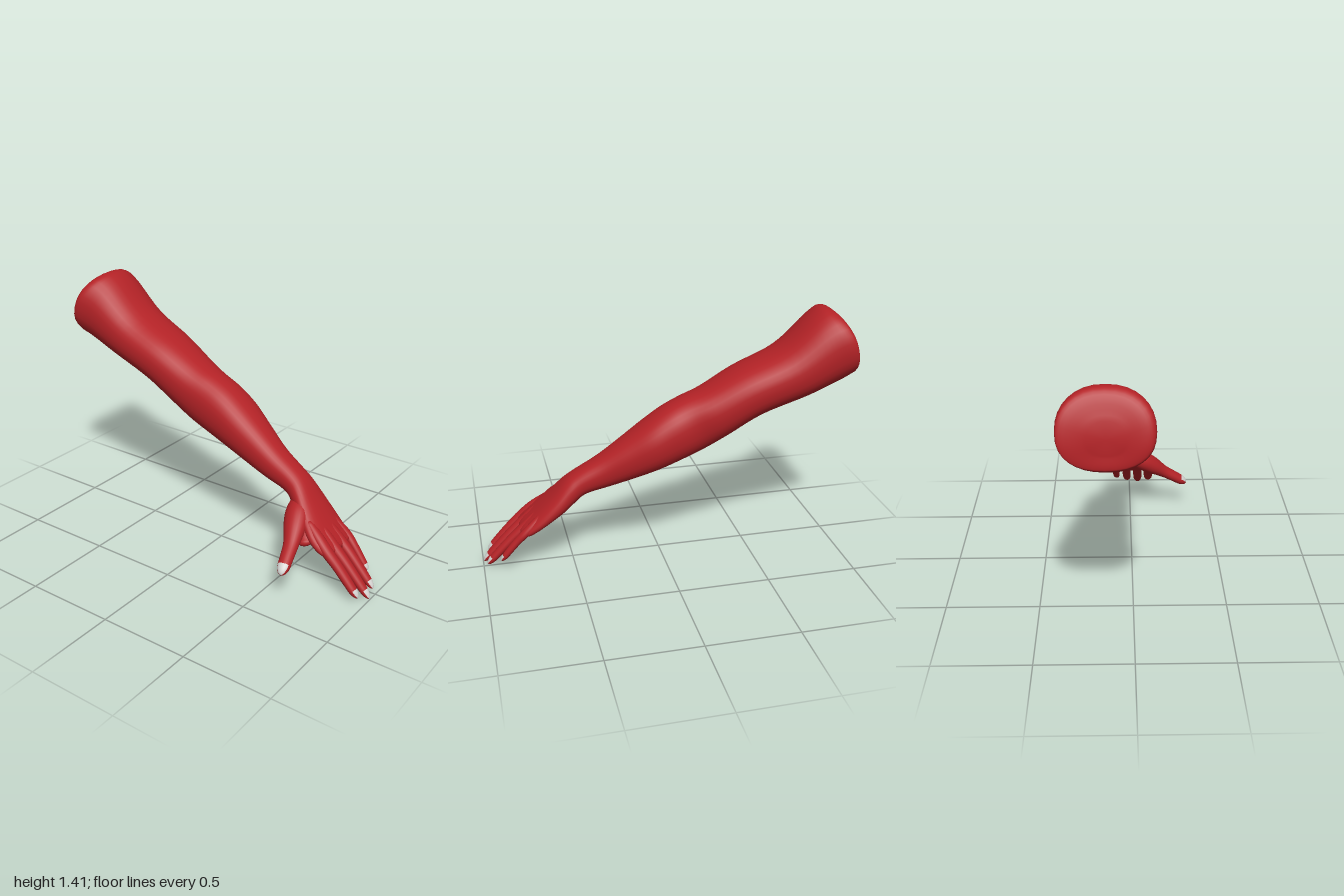
import * as THREE from 'three';

const V = (x, y, z) => new THREE.Vector3(x, y, z);
const SEG = 32;

// Skins closed rings of points, with a fan at both ends; isNail(ring, side) picks the second material
function loft(rings, startPoint, endPoint, isNail = () => false) {
  const n = rings[0].length, pos = [], skin = [], nail = [];
  rings.forEach(r => r.forEach(p => pos.push(p.x, p.y, p.z)));
  pos.push(...startPoint.toArray(), ...endPoint.toArray());
  const start = rings.length * n, end = start + 1, last = (rings.length - 1) * n;
  for (let j = 0; j < n; j++) {
    const k = (j + 1) % n;
    skin.push(start, k, j, last + j, last + k, end);
    for (let i = 0; i < rings.length - 1; i++) {
      const a = i * n + j, b = i * n + k;
      (isNail(i, j) ? nail : skin).push(a, b, a + n, b, b + n, a + n);
    }
  }
  const geo = new THREE.BufferGeometry();
  geo.setAttribute('position', new THREE.Float32BufferAttribute(pos, 3));
  geo.setIndex([...skin, ...nail]);
  geo.addGroup(0, skin.length, 0);
  if (nail.length) geo.addGroup(skin.length, nail.length, 1);
  geo.computeVertexNormals();
  return geo;
}

// Arm sections: top x, y, bottom x, y, back z, front z, sideways bow along x
const SECTIONS = [
  [-0.975, 1.28, -0.995, 1.12, -0.22, -0.04, -0.01],
  [-0.925, 1.385, -1.0, 1.06, -0.335, 0.06, -0.035],
  [-0.87, 1.41, -0.985, 1.04, -0.357, 0.095, -0.04],
  [-0.8, 1.37, -0.91, 1.0, -0.35, 0.08, -0.02],
  [-0.63, 1.21, -0.77, 0.94, -0.333, 0.067, 0],
  [-0.4, 1.1, -0.53, 0.85, -0.305, 0.066, 0],
  [-0.22, 1.0, -0.35, 0.74, -0.277, 0.052, 0],
  [-0.1, 0.95, -0.23, 0.665, -0.25, 0.042, 0],
  [0, 0.9, -0.1, 0.61, -0.25, 0.042, 0],
  [0.1, 0.83, 0.03, 0.56, -0.242, 0.042, 0],
  [0.22, 0.735, 0.15, 0.515, -0.205, 0.036, 0],
  [0.35, 0.635, 0.28, 0.47, -0.162, 0.032, 0],
  [0.47, 0.56, 0.42, 0.43, -0.138, 0.034, 0],
  [0.535, 0.51, 0.48, 0.385, -0.14, 0.055, 0],
  [0.61, 0.425, 0.55, 0.325, -0.148, 0.1, 0],
  [0.7, 0.33, 0.65, 0.255, -0.143, 0.152, 0],
  [0.765, 0.268, 0.73, 0.205, -0.125, 0.155, 0],
  [0.79, 0.238, 0.775, 0.205, -0.1, 0.13, 0],
];

function armGeometry() {
  const tops = new THREE.CatmullRomCurve3(SECTIONS.map(s => V(s[0], s[1], 0)), false, 'catmullrom');
  const bottoms = new THREE.CatmullRomCurve3(SECTIONS.map(s => V(s[2], s[3], 0)), false, 'catmullrom');
  const sides = new THREE.CatmullRomCurve3(SECTIONS.map(s => V(s[4], s[5], s[6])), false, 'catmullrom');
  const soft = v => Math.sign(v) * Math.abs(v) ** 0.88;
  const rings = [], steps = (SECTIONS.length - 1) * 5;
  for (let i = 0; i <= steps; i++) {
    const t = i / steps, top = tops.getPoint(t), bottom = bottoms.getPoint(t), s = sides.getPoint(t);
    const mid = top.clone().add(bottom).multiplyScalar(0.5), up = top.clone().sub(mid);
    rings.push(Array.from({ length: SEG }, (_, j) => {
      const a = j / SEG * Math.PI * 2, sn = Math.sin(a);
      const p = mid.clone().addScaledVector(up, soft(Math.cos(a)));
      p.x += s.z * sn * sn;
      p.z = (s.x + s.y) / 2 + (s.y - s.x) / 2 * soft(sn);
      return p;
    }));
  }
  return loft(rings, V(-0.995, 1.2, -0.13), V(0.793, 0.215, 0.015));
}

// A digit along a path, with half widths per path point, a flattened section and a rounded tip
function digitGeometry(points, widths, side, flat, nailStart) {
  const path = new THREE.CatmullRomCurve3(points, false, 'catmullrom');
  const size = new THREE.CatmullRomCurve3(widths.map(w => V(w, 0, 0)), false, 'catmullrom');
  const rings = [], ts = [], steps = 36, n = 24, tipStart = 0.88;
  for (let i = 0; i < steps; i++) {
    const t = Math.sin(i / steps * Math.PI / 2), c = path.getPoint(t), dir = path.getTangent(t);
    const across = side.clone().addScaledVector(dir, -side.dot(dir)).normalize();
    const up = across.clone().cross(dir);
    const k = Math.max(0, (t - tipStart) / (1 - tipStart));
    const w = size.getPoint(t).x * Math.sqrt(1 - k * k);
    ts.push(t);
    rings.push(Array.from({ length: n }, (_, j) => {
      const a = j / n * Math.PI * 2;
      return c.clone().addScaledVector(up, Math.cos(a) * w * flat).addScaledVector(across, Math.sin(a) * w);
    }));
  }
  const isNail = (i, j) => ts[i] > nailStart && ts[i] < 0.997 && (j < 4 || j >= n - 4);
  return loft(rings, points[0], points[points.length - 1], isNail);
}

export function createModel() {
  const group = new THREE.Group();
  const skin = new THREE.MeshStandardMaterial({ color: 0xb32226 });
  skin.name = 'red skin';
  const nail = new THREE.MeshStandardMaterial({ color: 0xd6d4d2 });
  nail.name = 'pale nail';
  const add = (name, geo) => {
    const mesh = new THREE.Mesh(geo, [skin, nail]);
    mesh.name = name;
    group.add(mesh);
  };

  // Upper arm, forearm and palm in one skin
  add('armAndPalm', armGeometry());

  // Fingers: knuckle z, tip x, y, z, half width
  const fingers = {
    indexFinger: [0.118, 0.962, 0.033, 0.125, 0.031],
    middleFinger: [0.048, 0.995, 0.004, 0.056, 0.03],
    ringFinger: [-0.026, 0.978, 0.022, -0.014, 0.029],
    littleFinger: [-0.098, 0.905, 0.073, -0.083, 0.024],
  };
  for (const [name, [z, x, y, tipZ, w]] of Object.entries(fingers)) {
    const knuckle = V(0.765, 0.235, z), tip = V(x, y, tipZ);
    const points = [V(0.63, 0.355, z * 0.75), V(0.7, 0.295, z * 0.9), knuckle,
      knuckle.clone().lerp(tip, 0.33), knuckle.clone().lerp(tip, 0.67), tip];
    points[3].y += 0.006;
    points[4].y += 0.004;
    add(name, digitGeometry(points, [w * 0.7, w * 1.05, w * 1.1, w, w * 0.92, w * 0.8], V(0, 0, 1), 0.85, 0.9));
  }

  // Thumb with its broad root
  add('thumb', digitGeometry(
    [V(0.52, 0.42, -0.01), V(0.545, 0.375, 0.06), V(0.572, 0.325, 0.13), V(0.598, 0.268, 0.205),
      V(0.615, 0.222, 0.275), V(0.633, 0.168, 0.355)],
    [0.045, 0.066, 0.062, 0.043, 0.037, 0.034], V(-1, 0, 0), 0.85, 0.885));

  // Web between thumb and index finger
  add('thumbWeb', digitGeometry(
    [V(0.56, 0.37, 0.03), V(0.6, 0.325, 0.09), V(0.635, 0.28, 0.13), V(0.66, 0.26, 0.165)],
    [0.04, 0.055, 0.045, 0.03], V(-1, 0, 0), 0.6, 2));

  return group;
}
